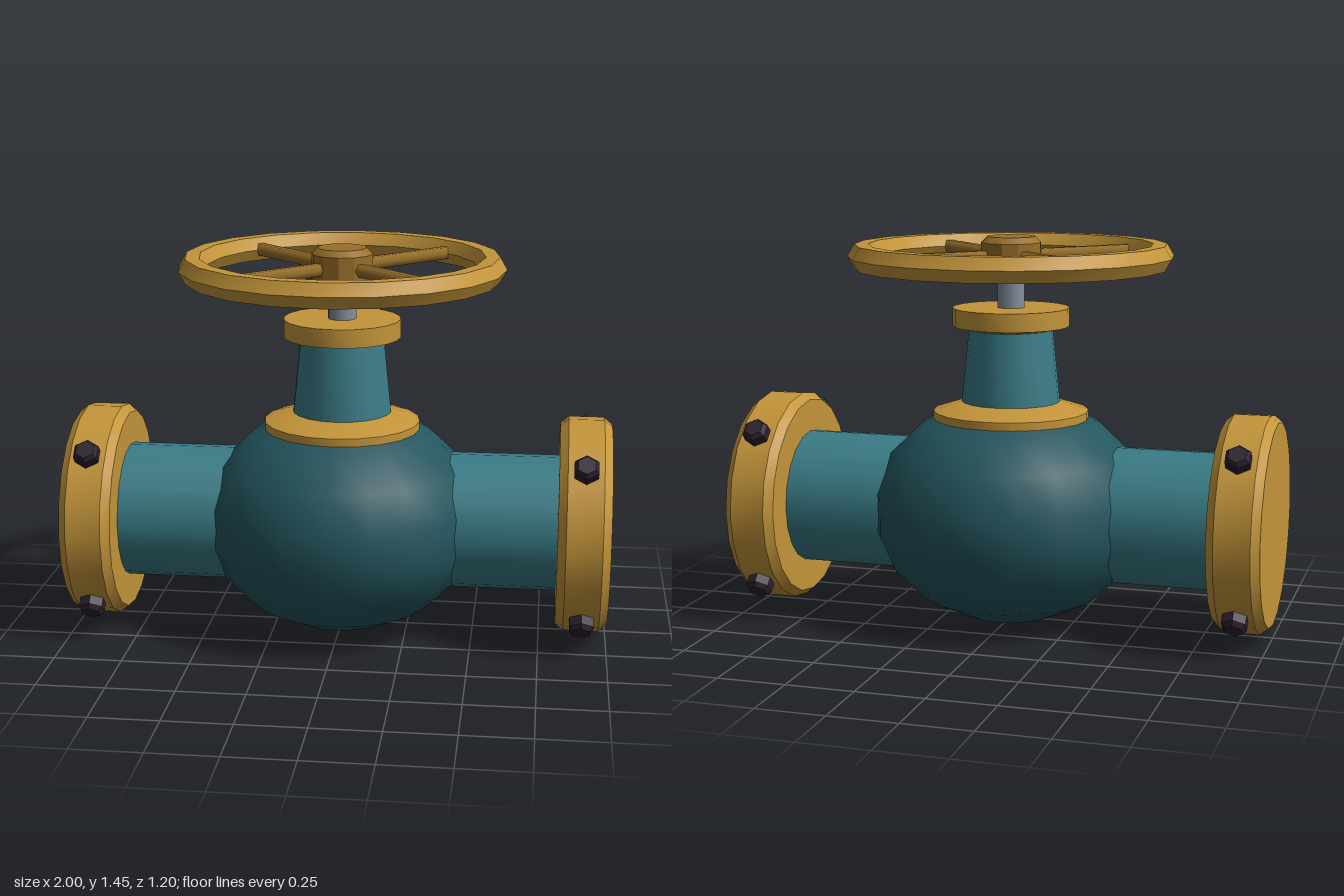
import * as THREE from 'three';
import { toCreasedNormals } from 'three/addons/utils/BufferGeometryUtils.js';

const AXIS_Y = 0.43; // height of the pipe axis

export function createModel() {
  const group = new THREE.Group();
  const material = (name, color) => {
    const m = new THREE.MeshStandardMaterial({ color });
    m.name = name;
    return m;
  };
  const bodyTeal = material('dark teal', 0x24555e);
  const pipeTeal = material('teal', 0x3a7c87);
  const gold = material('gold', 0xc4953a);
  const bronze = material('bronze', 0x98702a);
  const steel = material('steel', 0x85909e);
  const boltDark = material('dark bolt', 0x2c2230);

  const add = (name, geometry, mat, parent = group) => {
    const mesh = new THREE.Mesh(geometry, mat);
    mesh.name = name;
    parent.add(mesh);
    return mesh;
  };
  // Turned part from [radius, height] pairs, bottom to top, with crisp edges
  const turned = (points, sides = 20) => toCreasedNormals(
    new THREE.LatheGeometry(points.map(([r, y]) => new THREE.Vector2(r, y)), sides), 0.42);

  // Globe body
  const body = add('globeBody', new THREE.SphereGeometry(0.52, 20, 9), bodyTeal);
  body.scale.set(1, 0.425 / 0.52, 1);
  body.position.y = AXIS_Y;

  // Pipe running through the body
  const pipe = add('pipe', new THREE.CylinderGeometry(0.253, 0.253, 1.7, 20), pipeTeal);
  pipe.rotation.z = Math.PI / 2;
  pipe.position.y = AXIS_Y;

  // End flanges, each with four radial bolts
  const flangeGeometry = turned([
    [0, -0.095], [0.375, -0.095], [0.4, -0.065], [0.4, 0.065], [0.375, 0.095], [0, 0.095],
  ]);
  const boltGeometry = turned([
    [0, 0.34], [0.05, 0.34], [0.05, 0.43], [0.036, 0.447], [0, 0.447],
  ], 6);
  for (const side of [1, -1]) {
    const end = new THREE.Group();
    end.name = side > 0 ? 'leftEnd' : 'rightEnd';
    end.position.set(side * 0.905, AXIS_Y, 0);
    group.add(end);
    add('flange', flangeGeometry, gold, end).rotation.z = Math.PI / 2;
    for (let i = 0; i < 4; i++) {
      add('flangeBolt', boltGeometry, boltDark, end).rotation.x = Math.PI / 4 + i * Math.PI / 2;
    }
  }

  // Bonnet with its lower collar and upper gland
  add('bonnetCollar', turned([
    [0, 0.77], [0.29, 0.77], [0.29, 0.806], [0.185, 0.84], [0, 0.84],
  ]), gold);
  add('bonnet', turned([[0.185, 0.82], [0.154, 1.13]]), pipeTeal);
  add('gland', turned([
    [0, 1.107], [0.15, 1.107], [0.217, 1.122], [0.217, 1.19], [0, 1.19],
  ]), gold);

  // Stem
  const stem = add('stem', new THREE.CylinderGeometry(0.052, 0.052, 0.2, 12), steel);
  stem.position.y = 1.25;

  // Handwheel: rim, hub and four diagonal spokes
  const wheel = new THREE.Group();
  wheel.name = 'handwheel';
  wheel.position.y = 1.38;
  group.add(wheel);
  const rim = add('rim', toCreasedNormals(new THREE.TorusGeometry(0.55, 0.052, 6, 20), 0.42), gold, wheel);
  rim.rotation.x = Math.PI / 2;
  add('hub', turned([
    [0, -0.072], [0.09, -0.072], [0.113, -0.05], [0.113, 0.05], [0.09, 0.072], [0, 0.072],
  ], 12), bronze, wheel);
  const spokeGeometry = new THREE.CylinderGeometry(0.026, 0.026, 0.44, 6);
  spokeGeometry.rotateZ(Math.PI / 2).translate(0.3, 0, 0);
  for (let i = 0; i < 4; i++) {
    add('spoke', spokeGeometry, bronze, wheel).rotation.y = Math.PI / 4 + i * Math.PI / 2;
  }

  return group;
}
